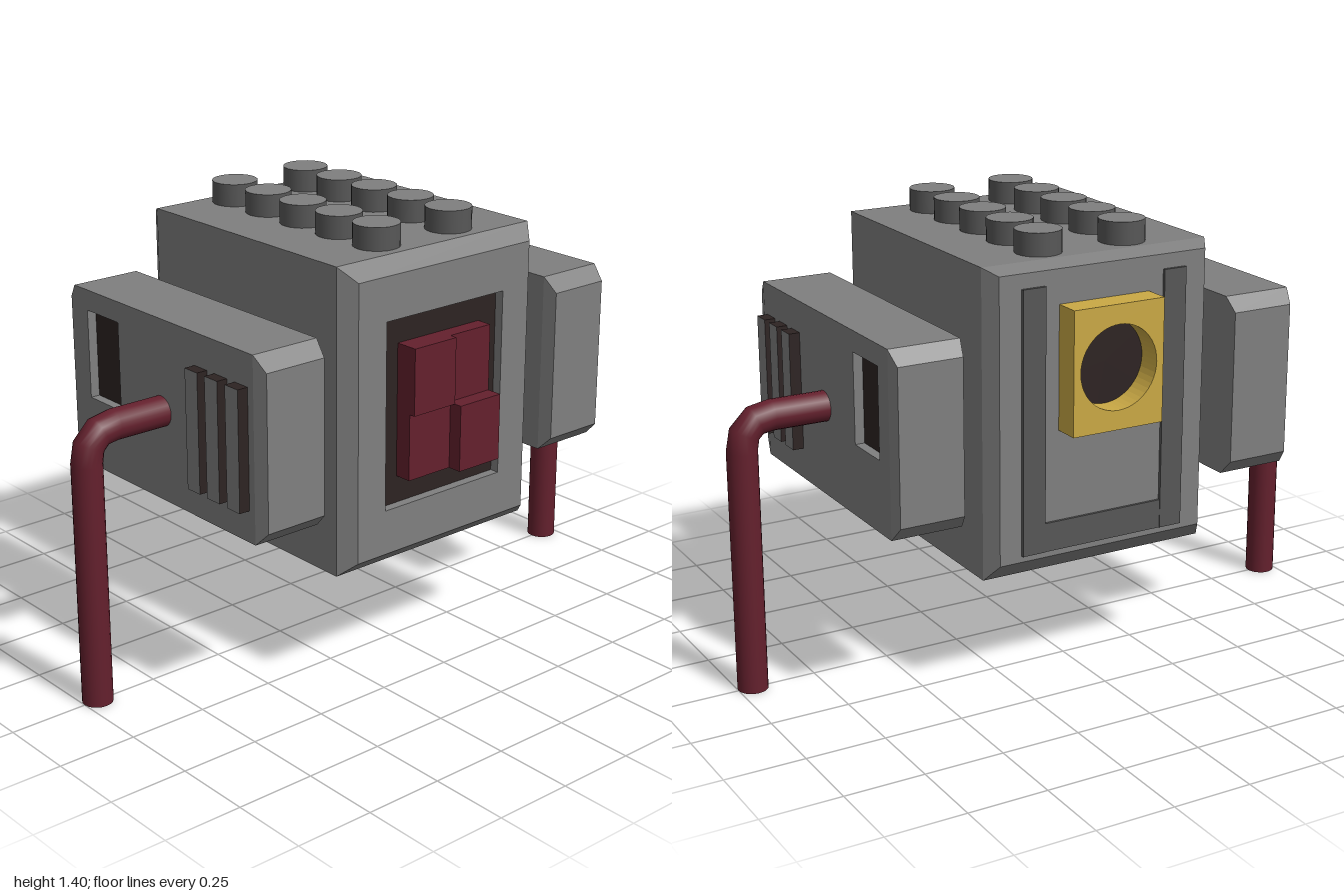
import * as THREE from 'three';

const mat = (name, color) => {
  const m = new THREE.MeshStandardMaterial({ color });
  m.name = name;
  return m;
};

// Flat-shaded skin over a list of four-point rings; skip(ring, side) leaves a side open
function loft(rings, { capStart = false, capEnd = false, skip = () => false } = {}) {
  const pos = [];
  const quad = (a, b, c, d) => [a, b, c, a, c, d].forEach(p => pos.push(...p));
  for (let r = 0; r < rings.length - 1; r++) {
    for (let i = 0; i < 4; i++) {
      const j = (i + 1) % 4, a = rings[r], b = rings[r + 1];
      if (!skip(r, i)) quad(a[i], a[j], b[j], b[i]);
    }
  }
  if (capStart) quad(...[...rings[0]].reverse());
  if (capEnd) quad(...rings[rings.length - 1]);
  const g = new THREE.BufferGeometry();
  g.setAttribute('position', new THREE.Float32BufferAttribute(pos, 3));
  g.computeVertexNormals();
  return g;
}
const ringX = (x, y0, y1, z0, z1) => [[x, y0, z0], [x, y1, z0], [x, y1, z1], [x, y0, z1]];
const ringZ = (z, x0, x1, y0, y1) => [[x0, y0, z], [x1, y0, z], [x1, y1, z], [x0, y1, z]];

// Box given by its limits
function span(x0, x1, y0, y1, z0, z1) {
  return new THREE.BoxGeometry(x1 - x0, y1 - y0, z1 - z0)
    .translate((x0 + x1) / 2, (y0 + y1) / 2, (z0 + z1) / 2);
}

export function createModel() {
  const grey = mat('grey', 0x7f7f7f);
  const darkGrey = mat('dark grey', 0x575757);
  const dark = mat('near black', 0x2d2322);
  const red = mat('dark red', 0x64202d);
  const gold = mat('gold', 0xcaa945);

  const model = new THREE.Group();
  model.name = 'machineBlock';
  const add = (parent, name, geometry, material) => {
    const m = new THREE.Mesh(geometry, material);
    m.name = name;
    parent.add(m);
    return m;
  };

  // Main body with bevelled ends and a recess in its left end
  add(model, 'body', loft([
    ringX(-0.47, 0.44, 1.315, -0.35, 0.35),
    ringX(-0.42, 0.385, 1.335, -0.38, 0.38),
    ringX(0.43, 0.385, 1.335, -0.38, 0.38),
    ringX(0.48, 0.43, 1.29, -0.34, 0.34),
    ringX(0.48, 0.57, 1.155, -0.233, 0.233),
    ringX(0.45, 0.57, 1.155, -0.233, 0.233),
  ], { capStart: true }), grey);
  add(model, 'recessFloor', new THREE.PlaneGeometry(0.466, 0.585)
    .rotateY(Math.PI / 2).translate(0.45, 0.8625, 0), dark);

  // Four red blocks standing out by different amounts
  [[0.525, 0.863, 1.07, 0, 0.163], [0.5, 0.863, 1.07, -0.163, 0],
    [0.505, 0.655, 0.863, 0, 0.163], [0.55, 0.655, 0.863, -0.163, 0]]
    .forEach(([x, y0, y1, z0, z1]) => add(model, 'redBlock', span(0.45, x, y0, y1, z0, z1), red));

  // Studs on the top
  for (let i = -2; i <= 2; i++) {
    for (const z of [-0.143, 0.143]) {
      add(model, 'stud', new THREE.CylinderGeometry(0.071, 0.071, 0.07, 24)
        .translate(i * 0.166, 1.37, z), [darkGrey, grey, grey]);
    }
  }

  // Raised strips on the right end
  for (const z of [-0.24, 0.24]) {
    add(model, 'endStrip', span(-0.48, -0.465, 0.46, 1.27, z - 0.038, z + 0.038), darkGrey);
  }
  add(model, 'endCrossStrip', span(-0.478, -0.465, 0.46, 0.55, -0.202, 0.202), darkGrey);

  // Gold port with a round hole
  const plate = new THREE.Shape([[-0.153, 0.83], [0.153, 0.83], [0.153, 1.21], [-0.153, 1.21]]
    .map(p => new THREE.Vector2(...p)));
  plate.holes.push(new THREE.Path().absarc(0, 1.02, 0.13, 0, Math.PI * 2, true));
  add(model, 'goldPort', new THREE.ExtrudeGeometry(plate, { depth: 0.083, bevelEnabled: false, curveSegments: 24 })
    .rotateY(-Math.PI / 2).translate(-0.47, 0, 0), gold);
  add(model, 'portFloor', new THREE.CircleGeometry(0.131, 32)
    .rotateY(-Math.PI / 2).translate(-0.474, 1.02, 0), dark);

  // One side: pod, window, vents and pipe; the other is its mirror image
  for (const s of [1, -1]) {
    const side = new THREE.Group();
    side.name = s > 0 ? 'frontSide' : 'backSide';
    side.scale.z = s;
    model.add(side);

    add(side, 'pod', loft([
      ringX(-0.472, 0.622, 1.1, 0.467, 0.673),
      ringX(-0.435, 0.577, 1.145, 0.457, 0.685),
      ringX(0.435, 0.577, 1.145, 0.457, 0.685),
      ringX(0.48, 0.622, 1.1, 0.467, 0.673),
    ], { capStart: true, capEnd: true, skip: (r, i) => r === 1 && i === 2 }), grey);

    // Outer face of the pod with the window cut through it
    const rect = (x0, x1, y0, y1) => ringZ(0, x0, x1, y0, y1).map(([x, y]) => new THREE.Vector2(x, y));
    const face = new THREE.Shape(rect(-0.435, 0.435, 0.577, 1.145));
    face.holes.push(new THREE.Path(rect(-0.37, -0.21, 0.8, 1.08)));
    add(side, 'podFace', new THREE.ShapeGeometry(face).translate(0, 0, 0.685), grey);
    add(side, 'windowReveal', loft([
      ringZ(0.685, -0.37, -0.21, 0.8, 1.08),
      ringZ(0.655, -0.37, -0.21, 0.8, 1.08),
    ]), grey);
    add(side, 'window', new THREE.PlaneGeometry(0.16, 0.28).translate(-0.29, 0.94, 0.655), dark);

    // Vent bars with dark edges
    for (const x of [0.196, 0.288, 0.381]) {
      add(side, 'ventBar', span(x - 0.029, x + 0.029, 0.675, 1.045, 0.68, 0.72),
        [dark, dark, dark, dark, grey, dark]);
    }

    // Pipe leg, bend and arm
    const R = 0.047;
    add(side, 'pipeLeg', new THREE.CylinderGeometry(R, R, 0.765, 20).translate(0, 0.3825, 0.953), red);
    const bend = new THREE.QuadraticBezierCurve3(
      new THREE.Vector3(0, 0.765, 0.953),
      new THREE.Vector3(0, 0.86, 0.953),
      new THREE.Vector3(0, 0.86, 0.858));
    add(side, 'pipeBend', new THREE.TubeGeometry(bend, 3, R, 20), red);
    add(side, 'pipeArm', new THREE.CylinderGeometry(R, R, 0.508, 20)
      .rotateX(Math.PI / 2).translate(0, 0.86, 0.604), red);
  }
  return model;
}
